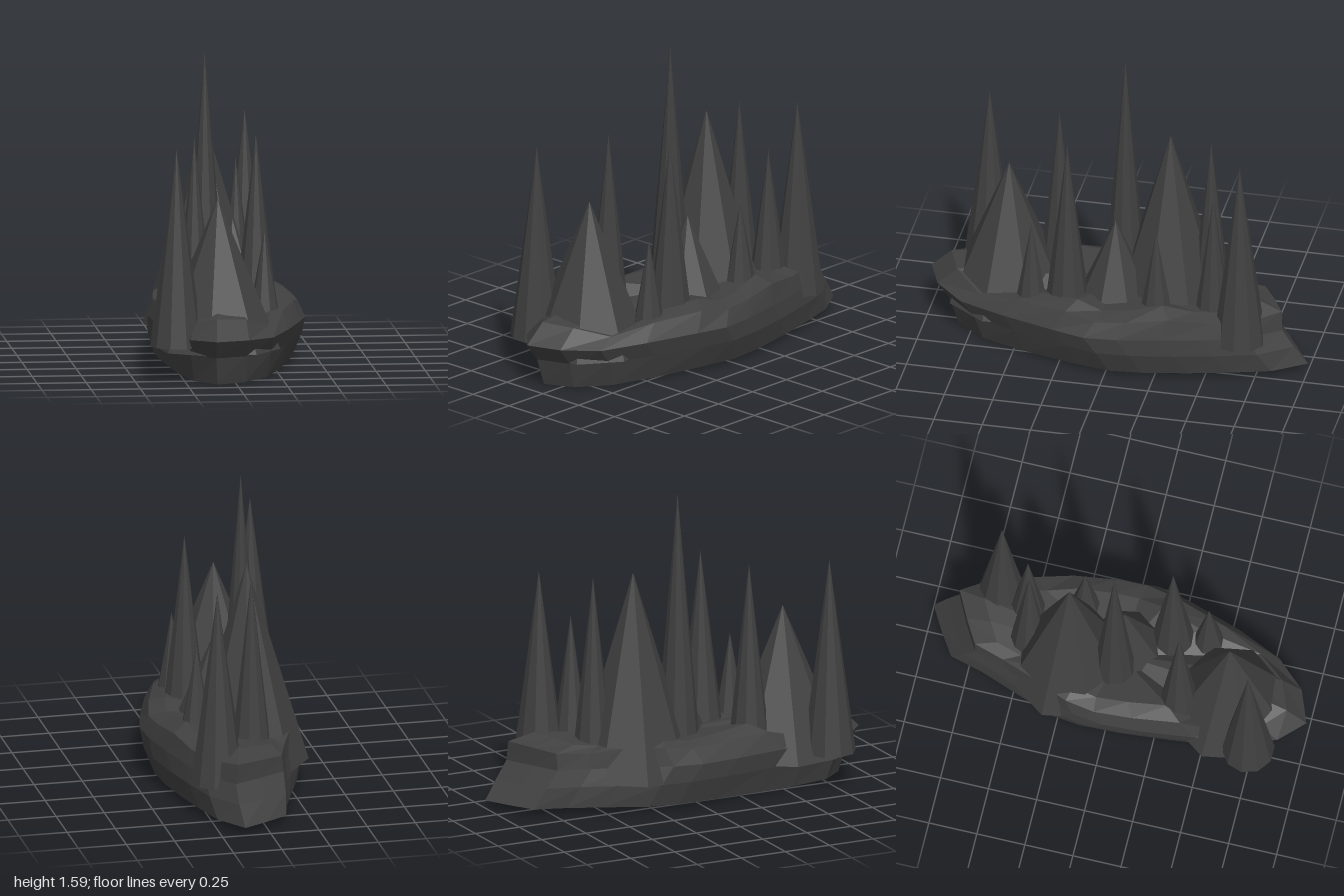
import * as THREE from 'three';

const material = new THREE.MeshStandardMaterial({ color: 0x404040, flatShading: true });

// Footprint of the rock, x/z pairs running from the front tip round by +x
const OUTLINE = [
  [-0.11, 1.0], [0.06, 0.93], [0.2, 0.77], [0.3, 0.52], [0.39, 0.22], [0.43, 0.04],
  [0.42, -0.14], [0.38, -0.38], [0.33, -0.6], [0.27, -0.82], [0.15, -1.0], [0.0, -0.92],
  [-0.13, -0.84], [-0.18, -0.66], [-0.25, -0.48], [-0.34, -0.25], [-0.36, -0.08],
  [-0.35, 0.14], [-0.32, 0.42], [-0.29, 0.64], [-0.23, 0.87],
];

// Rock levels from underside to crown: height, x scale, z scale, z shift, unevenness
const LEVELS = [
  [0.02, 0.88, 0.945, -0.055, 0],
  [0.14, 0.98, 0.93, 0, 0],
  [0.23, 1.0, 0.935, 0.065, 0.1],
  [0.32, 0.92, 0.88, 0.015, 0.6],
  [0.35, 0.72, 0.73, 0.0, 1],
];

function rockGeometry() {
  const n = OUTLINE.length;
  const points = [];
  const index = [];
  LEVELS.forEach(([y, sx, sz, shift, rough], level) => {
    OUTLINE.forEach(([x, z], i) => {
      const dip = 0.07 * rough * Math.exp(-(((z - 0.72) / 0.15) ** 2));
      const bump = 0.025 * rough * Math.sin(z * 9 - 1.5);
      const tilt = level === 0 ? -0.02 * z : 0;
      points.push(x * sx, y + tilt + bump - dip, z * sz + shift);
      if (level === 0) return;
      const j = (i + 1) % n;
      const a = (level - 1) * n + i, b = (level - 1) * n + j;
      index.push(a, b, b + n, a, b + n, a + n);
    });
  });
  // Close the underside and the slightly sunken top
  const bottom = points.length / 3;
  points.push(0, 0.02, -0.05, 0, 0.31, 0);
  const last = (LEVELS.length - 1) * n;
  for (let i = 0; i < n; i++) {
    const j = (i + 1) % n;
    index.push(bottom, j, i, bottom + 1, last + i, last + j);
  }
  const geometry = new THREE.BufferGeometry();
  geometry.setAttribute('position', new THREE.Float32BufferAttribute(points, 3));
  geometry.setIndex(index);
  geometry.computeVertexNormals();
  return geometry;
}

// Spikes: x, z, base height, tip height, radius, sides
const SPIKES = [
  ['frontCornerSpike', -0.29, 0.74, 0.18, 1.19, 0.135, 10],
  ['frontBroadSpike', -0.065, 0.59, 0.145, 0.91, 0.32, 8],
  ['frontSmallSpike', 0.19, 0.42, 0.165, 0.72, 0.1, 9],
  ['frontRightSpike', -0.16, 0.35, 0.2, 1.19, 0.11, 10],
  ['frontLeftSpike', 0.165, 0.24, 0.2, 1.19, 0.12, 10],
  ['tallSpike', -0.07, -0.01, 0.18, 1.585, 0.12, 10],
  ['middleLowSpike', 0.07, 0.01, 0.2, 0.72, 0.23, 8],
  ['backBroadSpike', -0.045, -0.25, 0.145, 1.19, 0.315, 8],
  ['middleSmallSpike', 0.21, -0.23, 0.26, 0.76, 0.09, 9],
  ['backRightSpike', -0.02, -0.465, 0.2, 1.19, 0.11, 10],
  ['backLeftSpike', 0.14, -0.51, 0.2, 0.95, 0.105, 10],
  ['backCornerSpike', 0.2, -0.66, 0.18, 1.19, 0.135, 10],
];

export function createModel() {
  const model = new THREE.Group();
  model.name = 'spikedRock';

  const rock = new THREE.Mesh(rockGeometry(), material);
  rock.name = 'rockBase';
  model.add(rock);

  for (const [name, x, z, base, tip, radius, sides] of SPIKES) {
    const spike = new THREE.Mesh(
      new THREE.ConeGeometry(radius, tip - base, sides, 1, false, sides === 8 ? 0.56 : 0.3),
      material,
    );
    spike.name = name;
    spike.position.set(x, (base + tip) / 2, z);
    model.add(spike);
  }
  return model;
}
